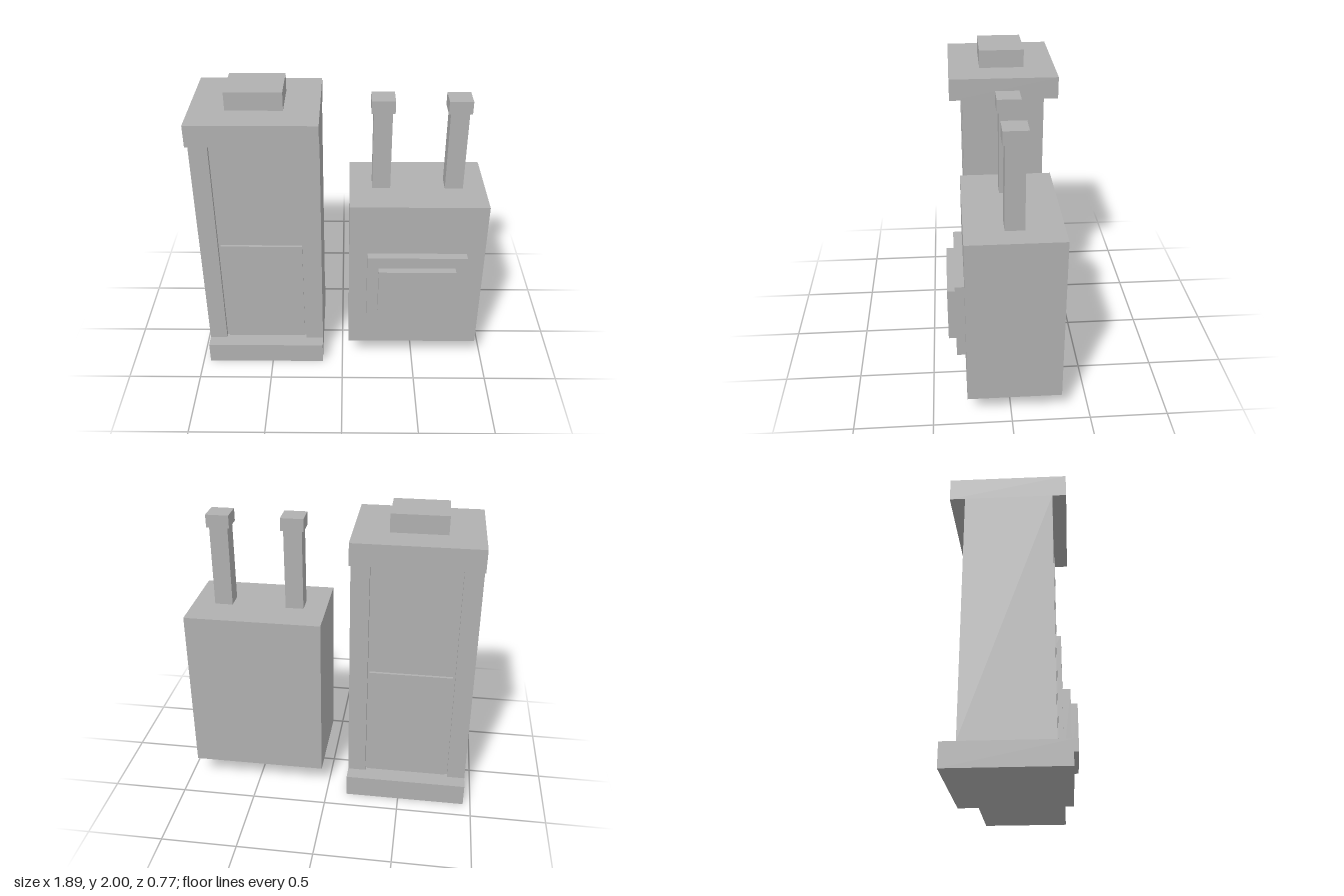
import * as THREE from 'three';

const grey = new THREE.MeshStandardMaterial({ color: 0xb0b0b0 });
grey.name = 'plain grey';

// Box given by its limits on each axis
function block(parent, name, [x0, x1], [y0, y1], [z0, z1]) {
  const mesh = new THREE.Mesh(new THREE.BoxGeometry(x1 - x0, y1 - y0, z1 - z0), grey);
  mesh.position.set((x0 + x1) / 2, (y0 + y1) / 2, (z0 + z1) / 2);
  mesh.name = name;
  parent.add(mesh);
}

function createTower() {
  const tower = new THREE.Group();
  tower.name = 'tower';
  const full = [-0.95, -0.14];
  const depth = [-0.385, 0.335];
  block(tower, 'base', full, [0, 0.15], depth);
  block(tower, 'roofSlab', full, [1.735, 1.88], depth);
  block(tower, 'roofBlock', [-0.725, -0.365], [1.88, 2], [-0.175, 0.125]);

  // Side walls with recessed panels between them, front and back
  block(tower, 'rightWall', [-0.95, -0.83], [0.15, 1.735], [-0.29, 0.25]);
  block(tower, 'leftWall', [-0.26, -0.14], [0.15, 1.735], [-0.29, 0.25]);
  block(tower, 'recessedPanel', [-0.83, -0.26], [0.15, 1.735], [-0.26, 0.22]);

  // Lower door panel and its top rail, showing on both faces
  block(tower, 'lowerDoor', [-0.815, -0.27], [0.15, 0.88], [-0.268, 0.228]);
  block(tower, 'doorRail', [-0.815, -0.27], [0.88, 0.94], [-0.278, 0.238]);
  return tower;
}

function createCabinet() {
  const cabinet = new THREE.Group();
  cabinet.name = 'cabinet';
  block(cabinet, 'cabinetBody', [0.045, 0.945], [0.15, 1.28], [-0.32, 0.28]);

  // Stepped front plate
  block(cabinet, 'outerPlate', [0.165, 0.825], [0.41, 0.92], [0.28, 0.337]);
  block(cabinet, 'innerPlate', [0.24, 0.75], [0.485, 0.84], [0.337, 0.385]);

  // Two capped pipes
  for (const x of [0.255, 0.737]) {
    block(cabinet, 'pipe', [x - 0.06, x + 0.06], [1.28, 1.825], [-0.083, 0.037]);
    block(cabinet, 'pipeCap', [x - 0.075, x + 0.075], [1.825, 1.91], [-0.098, 0.052]);
  }
  return cabinet;
}

export function createModel() {
  const model = new THREE.Group();
  model.name = 'towerAndCabinet';
  model.add(createTower(), createCabinet());
  return model;
}
